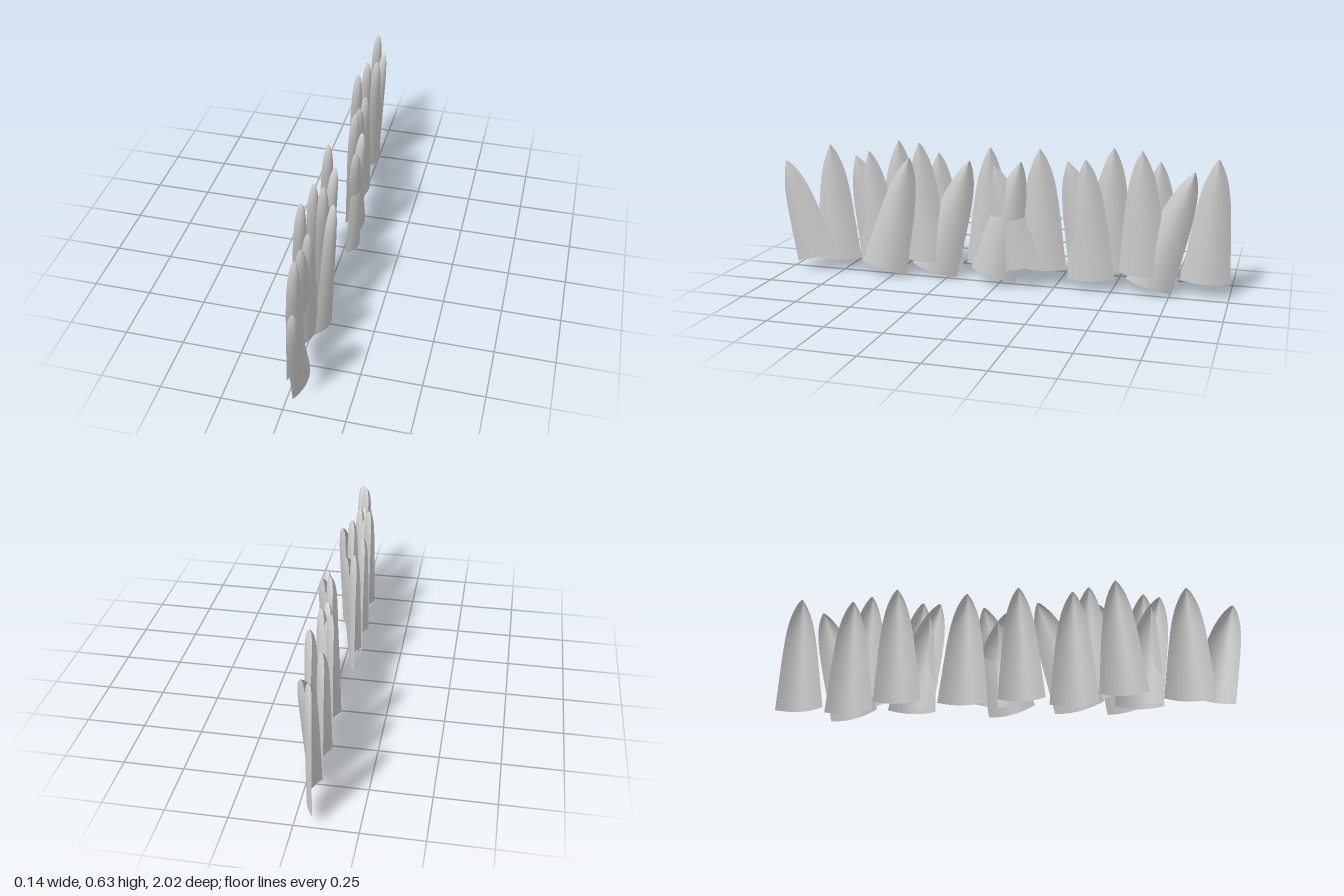
import * as THREE from 'three';

const material = new THREE.MeshStandardMaterial({ color: 0xcccccc, side: THREE.DoubleSide });
const ROWS = 20, COLS = 12, DEPTH = 0.019;

// One curved blade: straight lower edge from (zL, yL) to (zR, yR), tapering to a
// rounded tip; its cross-section bulges towards +x and is hollow on the -x side.
function blade(x, [tipZ, tipY], [zL, yL], [zR, yR]) {
  const geometry = new THREE.PlaneGeometry(1, 1, COLS, ROWS);
  const pos = geometry.attributes.position;
  const midZ = (zL + zR) / 2, midY = (yL + yR) / 2;
  for (let i = 0; i < pos.count; i++) {
    const s = -2 * pos.getX(i);                       // across: +1 left edge, -1 right edge
    const v = pos.getY(i) + 0.5;
    const t = 1 - Math.pow(1 - v, 1.6);               // rows gather near the tip
    const width = 1 - 0.5 * t - 0.5 * Math.pow(t, 6);
    const depth = DEPTH * Math.sqrt(Math.max(0, 1 - Math.pow(t, 12)));
    pos.setXYZ(i,
      x + depth * (1 - 2 * s * s),
      midY + (tipY - midY) * t + s * width * (yL - yR) / 2,
      midZ + (tipZ - midZ) * t + s * width * (zL - zR) / 2);
  }
  geometry.computeVertexNormals();
  return new THREE.Mesh(geometry, material);
}

// Each entry: x, tip [z, y], lower corner on +z side, lower corner on -z side
const layers = {
  backRow: [
    [-0.054, [0.06, 0.6], [0.175, 0.06], [-0.03, 0.06]],
    [-0.054, [0.3, 0.565], [0.4, 0.03], [0.19, 0.025]],
    [-0.054, [0.49, 0.61], [0.61, 0.065], [0.4, 0.065]],
    [-0.054, [-0.93, 0.6], [-0.79, 0.06], [-1, 0.055]],
    [-0.054, [-0.69, 0.575], [-0.57, 0.04], [-0.78, 0.035]],
    [-0.054, [-0.49, 0.625], [-0.36, 0.075], [-0.57, 0.075]],
  ],
  middleRowUpright: [
    [0.005, [0.8, 0.585], [0.89, 0.045], [0.67, 0.055]],
    [0.005, [0.61, 0.565], [0.67, 0.02], [0.46, 0.03]],
    [0.005, [0.37, 0.615], [0.45, 0.075], [0.24, 0.07]],
    [0.005, [-0.18, 0.615], [-0.08, 0.077], [-0.3, 0.08]],
    [0.005, [-0.38, 0.58], [-0.305, 0.04], [-0.515, 0.055]],
    [0.005, [-0.62, 0.628], [-0.53, 0.09], [-0.74, 0.08]],
  ],
  middleRowLeaning: [
    [-0.006, [0.68, 0.54], [0.665, 0.025], [0.455, 0.08]],
    [-0.006, [0.14, 0.545], [0.42, 0.05], [0.21, 0]],
    [-0.006, [-0.3, 0.565], [-0.315, 0.05], [-0.525, 0.1]],
    [-0.006, [-0.84, 0.55], [-0.56, 0.06], [-0.76, 0.01]],
  ],
  frontRow: [
    [0.052, [1, 0.51], [0.97, 0.035], [0.77, 0.09]],
    [0.053, [0.4, 0.555], [0.64, 0.065], [0.43, 0.01]],
    [0.052, [0.01, 0.54], [0, 0.065], [-0.2, 0.11]],
    [0.053, [-0.11, 0.565], [0.12, 0.07], [-0.08, 0.02]],
  ],
};

export function createModel() {
  const model = new THREE.Group();
  model.name = 'overlappingBlades';
  for (const [name, blades] of Object.entries(layers)) {
    const row = new THREE.Group();
    row.name = name;
    blades.forEach((spec, i) => {
      const mesh = blade(...spec);
      mesh.name = `${name}Blade${i + 1}`;
      row.add(mesh);
    });
    model.add(row);
  }
  return model;
}
